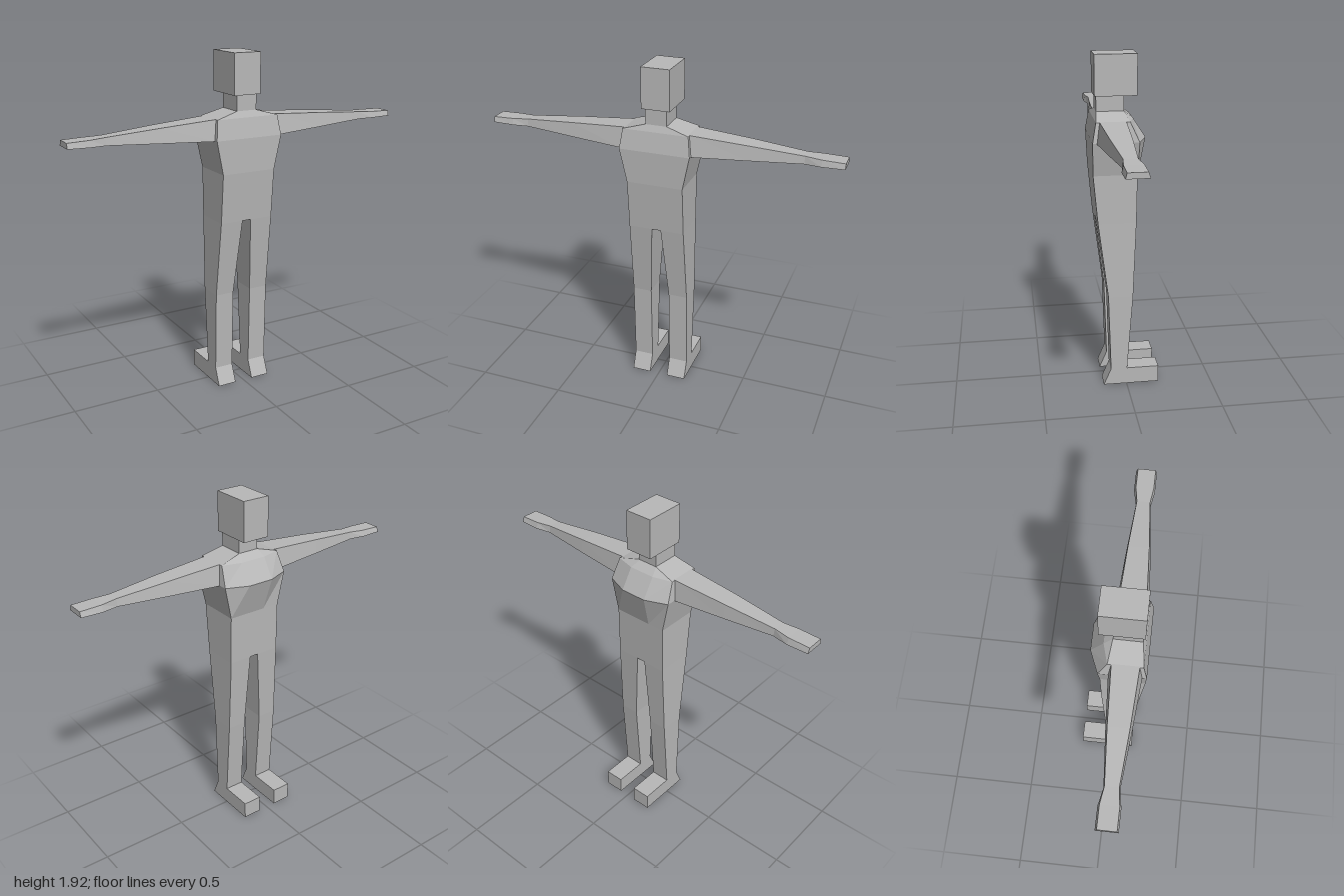
import * as THREE from 'three';

// Flat-faced skin through rings of [x, y, z] points, closed at both ends.
// Rings run counterclockwise when seen from the end of the loft.
function loft(rings) {
  const pos = [];
  const tri = (a, b, c) => pos.push(...a, ...b, ...c);
  const n = rings[0].length;
  for (let r = 0; r < rings.length - 1; r++) {
    for (let i = 0; i < n; i++) {
      const j = (i + 1) % n;
      const [a, b, c, d] = [rings[r][i], rings[r][j], rings[r + 1][j], rings[r + 1][i]];
      tri(a, b, c);
      tri(a, c, d);
    }
  }
  const first = rings[0], last = rings[rings.length - 1];
  for (let i = 1; i < n - 1; i++) {
    tri(first[0], first[i + 1], first[i]);
    tri(last[0], last[i], last[i + 1]);
  }
  const g = new THREE.BufferGeometry();
  g.setAttribute('position', new THREE.Float32BufferAttribute(pos, 3));
  g.computeVertexNormals();
  return g;
}

// Mirror rings across x = 0, keeping the winding outward
const mirror = (rings) => rings.map((ring) => ring.map(([x, y, z]) => [-x, y, z]).reverse());

export function createModel() {
  const model = new THREE.Group();
  model.name = 'figure';
  const grey = new THREE.MeshStandardMaterial({ color: 0xb8b8b8 });
  grey.name = 'plain grey';

  const add = (name, geometry) => {
    const mesh = new THREE.Mesh(geometry, grey);
    mesh.name = name;
    model.add(mesh);
  };
  const box = (name, x0, x1, y0, y1, z0, z1) => {
    const g = new THREE.BoxGeometry(x1 - x0, y1 - y0, z1 - z0);
    g.translate((x0 + x1) / 2, (y0 + y1) / 2, (z0 + z1) / 2);
    add(name, g);
  };

  // Head and neck
  box('head', -0.08, 0.08, 1.7, 1.925, -0.07, 0.165);
  box('neck', -0.06, 0.06, 1.6, 1.7, 0, 0.155);

  // Torso: y, half width, far z, side corner z, inner half width, inner z
  const torso = [
    [1.0, 0.16, 0.16, -0.055, 0.06, -0.055],
    [1.28, 0.16, 0.185, -0.06, 0.06, -0.06],
    [1.47, 0.2, 0.19, -0.065, 0.075, -0.115],
    [1.58, 0.185, 0.17, -0.015, 0.075, -0.045],
    [1.615, 0.06, 0.155, 0, 0.05, 0],
  ].map(([y, w, zb, zs, wi, zi]) => [
    [w, y, zb], [w, y, zs], [wi, y, zi], [-wi, y, zi], [-w, y, zs], [-w, y, zb],
  ]);
  add('torso', loft(torso));

  // Arm: x, bottom y, top y, bottom z range, top z range
  const arm = [
    [0.17, 1.465, 1.582, -0.012, 0.168, 0.005, 0.15],
    [0.2, 1.466, 1.58, -0.01, 0.166, 0.006, 0.149],
    [0.5, 1.481, 1.56, 0.01, 0.143, 0.02, 0.133],
    [0.79, 1.495, 1.537, 0.034, 0.116, 0.039, 0.111],
    [0.88, 1.497, 1.533, 0.015, 0.131, 0.025, 0.123],
    [1.0, 1.5, 1.53, 0.015, 0.131, 0.025, 0.123],
  ].map(([x, y0, y1, a, b, c, d]) => [[x, y0, a], [x, y1, c], [x, y1, d], [x, y0, b]]);
  add('leftArm', loft(arm));
  add('rightArm', loft(mirror(arm)));

  // Leg with sloped heel: y, inner x, outer x, z range
  const leg = [
    [0, 0.055, 0.165, 0, 0.135],
    [0.1, 0.055, 0.165, -0.003, 0.092],
    [0.56, 0.055, 0.165, -0.037, 0.105],
    [1.0, 0.026, 0.16, -0.055, 0.16],
  ].map(([y, xi, xo, z0, z1]) => [[xo, y, z1], [xo, y, z0], [xi, y, z0], [xi, y, z1]]);
  add('leftLeg', loft(leg));
  add('rightLeg', loft(mirror(leg)));

  // Feet
  box('leftFoot', 0.055, 0.165, 0, 0.1, -0.19, 0);
  box('rightFoot', -0.165, -0.055, 0, 0.1, -0.19, 0);

  return model;
}
